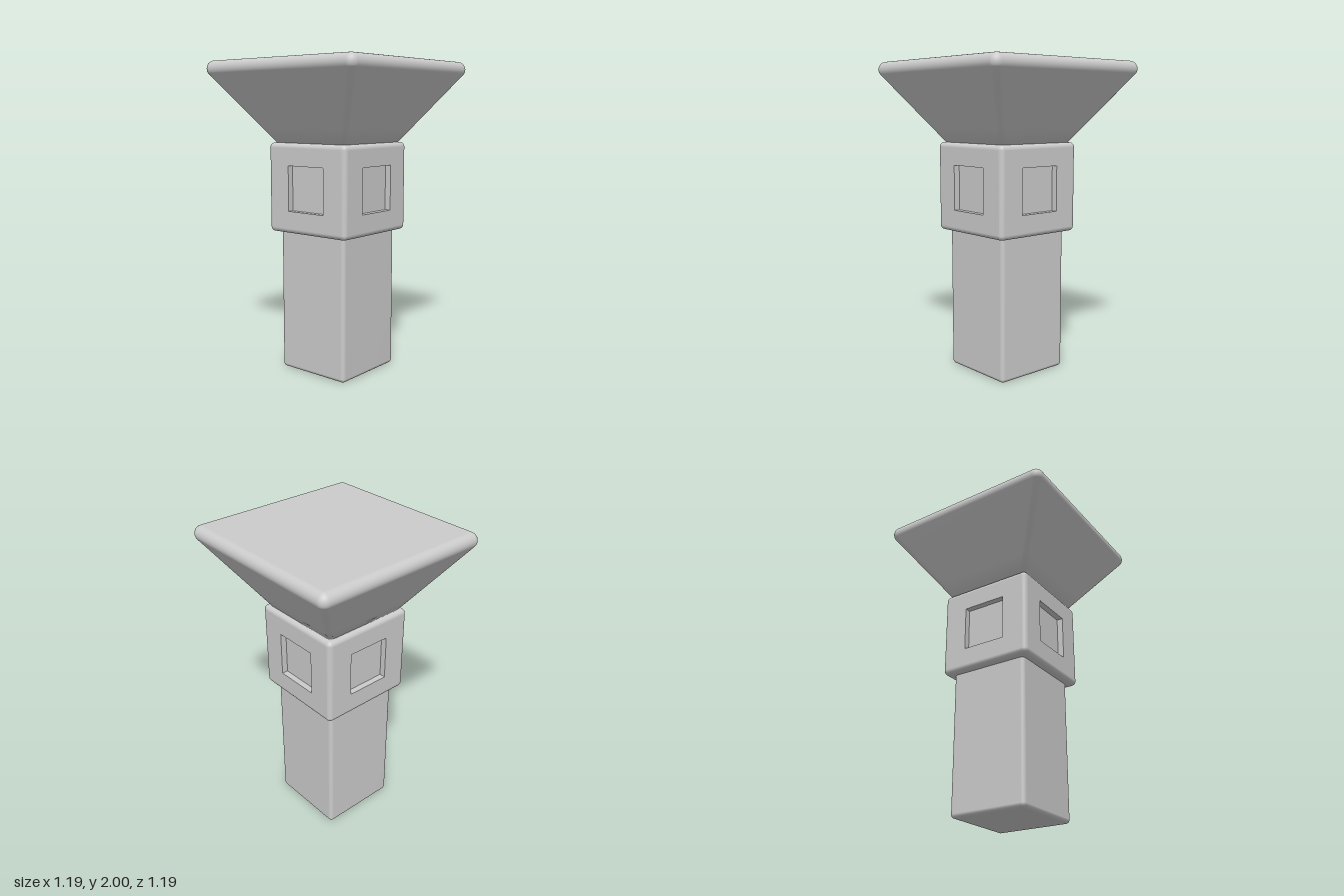
import * as THREE from 'three';
import { mergeVertices } from 'three/addons/utils/BufferGeometryUtils.js';

const material = new THREE.MeshStandardMaterial({ color: 0xcccccc });
const CORNER = 6; // segments per rounded corner

// Lofts rounded squares; each profile entry is [half width, y, corner radius].
// openRow leaves out the four flat sides of that row so panels can fill them.
function loft(profile, openRow = -1) {
  const positions = [], index = [];
  const n = 4 * (CORNER + 1);
  for (const [half, y, r] of profile) {
    for (let c = 0; c < 4; c++) {
      const mid = Math.PI / 4 + c * Math.PI / 2;
      const cx = Math.sign(Math.cos(mid)) * (half - r);
      const cz = Math.sign(Math.sin(mid)) * (half - r);
      for (let i = 0; i <= CORNER; i++) {
        const a = (c + i / CORNER) * Math.PI / 2;
        positions.push(cx + r * Math.cos(a), y, cz + r * Math.sin(a));
      }
    }
  }
  for (let row = 0; row < profile.length - 1; row++) {
    for (let i = 0; i < n; i++) {
      if (row === openRow && i % (CORNER + 1) === CORNER) continue;
      const a = row * n + i, b = row * n + (i + 1) % n;
      index.push(a, a + n, b, b, a + n, b + n);
    }
  }
  // Flat ends
  const last = (profile.length - 1) * n, base = positions.length / 3;
  positions.push(0, profile[0][1], 0, 0, profile[profile.length - 1][1], 0);
  for (let i = 0; i < n; i++) {
    const j = (i + 1) % n;
    index.push(base, i, j, base + 1, last + j, last + i);
  }
  let geometry = new THREE.BufferGeometry();
  geometry.setAttribute('position', new THREE.Float32BufferAttribute(positions, 3));
  geometry.setIndex(index);
  geometry = mergeVertices(geometry, 1e-5);
  geometry.computeVertexNormals();
  return geometry;
}

// Quarter-round (or longer) edge as profile entries
function arc(cx, cy, r, from, to, steps = 6) {
  return Array.from({ length: steps + 1 }, (_, i) => {
    const a = THREE.MathUtils.degToRad(from + (to - from) * i / steps);
    return [cx + r * Math.cos(a), cy + r * Math.sin(a), Math.max(0, r * Math.cos(a))];
  });
}

const roundedBox = (half, y0, y1, r) => [
  ...arc(half - r, y0 + r, r, -90, 0),
  ...arc(half - r, y1 - r, r, 0, 90),
];

function rectangle(PathType, w, h) {
  return new PathType([[-w, -h], [w, -h], [w, h], [-w, h]].map(([x, y]) => new THREE.Vector2(x, y)));
}

export function createModel() {
  const group = new THREE.Group();
  const add = (name, geometry, parent = group) => {
    const mesh = new THREE.Mesh(geometry, material);
    mesh.name = name;
    parent.add(mesh);
    return mesh;
  };

  // Square shaft
  add('shaft', loft(roundedBox(0.262, 0, 0.95, 0.025)));

  // Collar block with a square recess in each side
  const collar = new THREE.Group();
  collar.name = 'collar';
  group.add(collar);
  const half = 0.315, y0 = 0.918, y1 = 1.49, r = 0.03, depth = 0.04;
  const midY = (y0 + y1) / 2;
  add('collarShell', loft(roundedBox(half, y0, y1, r), 6), collar);

  const panelShape = rectangle(THREE.Shape, half - r, (y1 - y0) / 2 - r);
  const hole = rectangle(THREE.Path, 0.144, 0.144);
  hole.curves.forEach((c) => { c.v1.y += 0.01; });
  panelShape.holes.push(rectangle(THREE.Path, 0.144, 0.144));
  const panel = new THREE.ExtrudeGeometry(panelShape, { depth, bevelEnabled: false });
  panel.translate(0, midY + 0.01, half - depth);
  panel.translate(0, -0.01, 0);
  for (let i = 0; i < 4; i++) {
    add('recessedPanel', panel, collar).rotation.y = i * Math.PI / 2;
  }
  const inner = 2 * (half - depth);
  add('recessFloor', new THREE.BoxGeometry(inner, y1 - y0 - 2 * r, inner).translate(0, midY, 0), collar);

  // Flared head with a rounded rim
  const rim = arc(0.547, 1.95, 0.05, -35, 90, 10);
  const [rimX, rimY] = rim[0];
  const flare = [0, 0.25, 0.5, 0.75].map((t) => [
    THREE.MathUtils.lerp(0.272, rimX, t),
    THREE.MathUtils.lerp(1.47, rimY, t),
    THREE.MathUtils.lerp(0.03, rim[0][2], t),
  ]);
  add('flaredHead', loft([...flare, ...rim]));

  return group;
}
